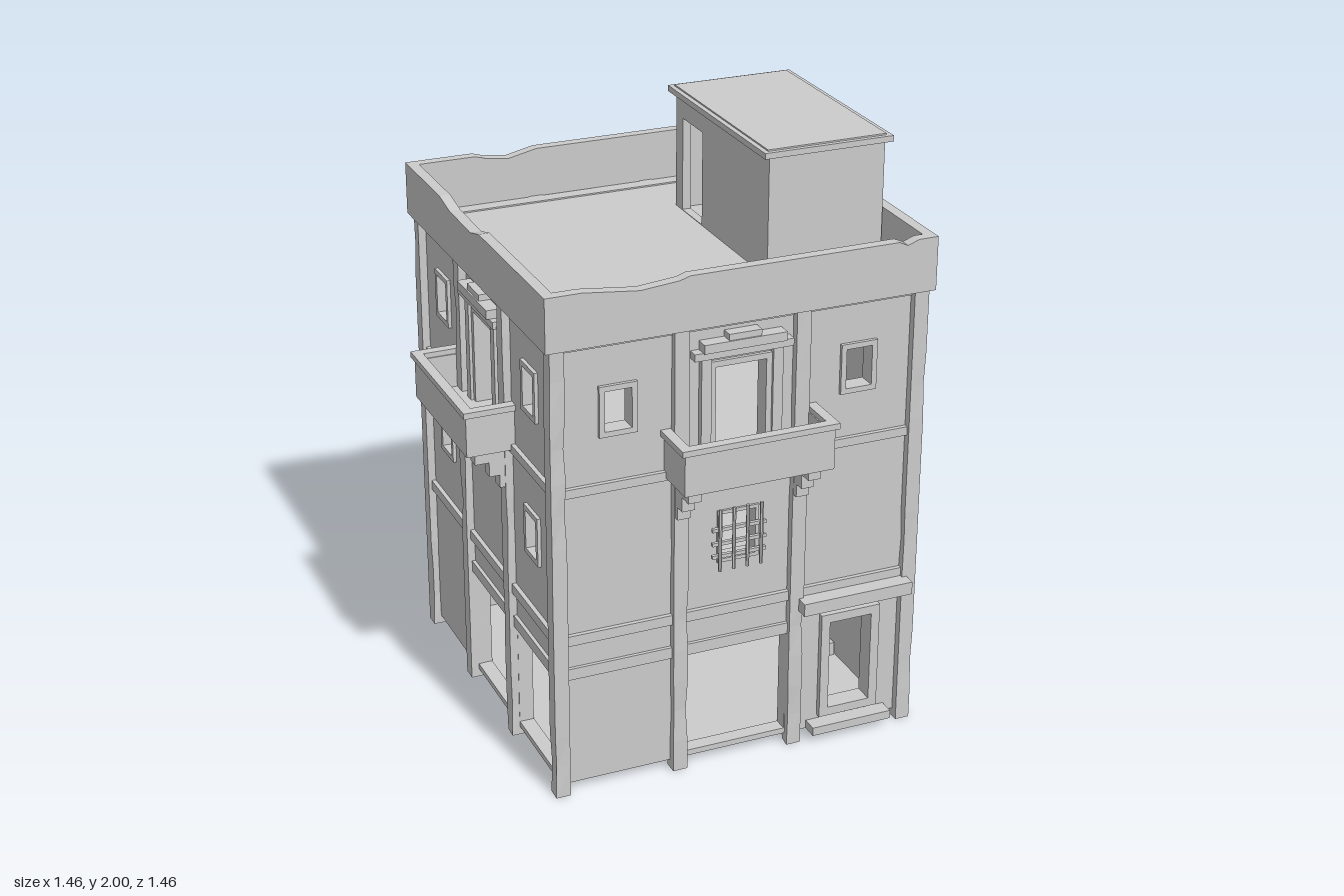
import * as THREE from 'three';

const mat = new THREE.MeshStandardMaterial({ color: 0xcccccc, flatShading: true });
const HALF = 0.615; // distance from the centre to the outer wall face

function add(parent, name, geometry) {
  const mesh = new THREE.Mesh(geometry, mat);
  mesh.name = name;
  parent.add(mesh);
  return mesh;
}

// Box given by its limits on each axis
function box(parent, name, x0, x1, y0, y1, z0, z1) {
  const mesh = add(parent, name, new THREE.BoxGeometry(x1 - x0, y1 - y0, z1 - z0));
  mesh.position.set((x0 + x1) / 2, (y0 + y1) / 2, (z0 + z1) / 2);
  return mesh;
}

function rectPath(path, [u0, u1, v0, v1]) {
  path.moveTo(u0, v0);
  path.lineTo(u1, v0);
  path.lineTo(u1, v1);
  path.lineTo(u0, v1);
  path.closePath();
  return path;
}

// Upright rectangular plate with rectangular holes, from z0 to z1
function plate(parent, name, rect, holes, z0, z1) {
  const shape = rectPath(new THREE.Shape(), rect);
  holes.forEach((h) => shape.holes.push(rectPath(new THREE.Path(), h)));
  const geo = new THREE.ExtrudeGeometry(shape, { depth: z1 - z0, bevelEnabled: false });
  return add(parent, name, geo.translate(0, 0, z0));
}

// Square post with slightly worn edges
let seed = 7;
const rand = () => (seed = (seed * 16807) % 2147483647) / 2147483647;
function pillar(parent, x, z) {
  const geo = new THREE.BoxGeometry(0.05, 1.58, 0.05, 1, 14, 1);
  const p = geo.attributes.position;
  const worn = {};
  for (let i = 0; i < p.count; i++) {
    const key = [p.getX(i), p.getY(i), p.getZ(i)].map((n) => n.toFixed(3)).join();
    worn[key] ??= rand() > 0.8 ? 1 - 0.22 * rand() : 1;
    p.setX(i, p.getX(i) * worn[key]);
    p.setZ(i, p.getZ(i) * worn[key]);
  }
  geo.computeVertexNormals();
  add(parent, 'pillar', geo).position.set(x, 0.79, z);
}

const grow = ([a, b, c, d], g) => [a - g, b + g, c - g, d + g];
const win = (u, y, w = 0.09, h = 0.135) => [u - w / 2, u + w / 2, y - h / 2, y + h / 2];

function frame(parent, name, hole, border, out) {
  plate(parent, name, grow(hole, border), [hole], HALF - 0.03, HALF + out);
}

// Balcony with corbels and the tall doorway behind it
function balcony(side, door) {
  const g = new THREE.Group();
  g.name = 'balcony';
  side.add(g);
  box(g, 'balconyFloor', -0.252, 0.252, 1.075, 1.1, HALF, 0.775);
  box(g, 'balconyFront', -0.255, 0.255, 1.075, 1.217, 0.75, 0.778);
  box(g, 'balconyFrontRim', -0.267, 0.267, 1.215, 1.235, 0.754, 0.788);
  for (const s of [-1, 1]) {
    const [a, b] = s < 0 ? [-0.255, -0.229] : [0.229, 0.255];
    box(g, 'balconyEnd', a, b, 1.075, 1.217, HALF, 0.77);
    box(g, 'balconyEndRim', s < 0 ? -0.267 : 0.233, s < 0 ? -0.233 : 0.267, 1.215, 1.235, HALF, 0.76);
    // stepped corbel
    [[1.03, 1.08, 0.742], [0.98, 1.03, 0.695], [0.935, 0.98, 0.66]].forEach(([y0, y1, d]) =>
      box(g, 'corbel', s * 0.206 - 0.022, s * 0.206 + 0.022, y0, y1, HALF, d));
    box(g, 'doorPilaster', s * 0.122 - 0.017, s * 0.122 + 0.017, 1.09, 1.465, HALF, 0.637);
  }
  frame(g, 'balconyDoorFrame', door, 0.02, 0.012);
  box(g, 'doorLintel', -0.168, 0.168, 1.46, 1.485, HALF, 0.65);
  box(g, 'doorLintelTop', -0.14, 0.14, 1.485, 1.515, HALF, 0.66);
  box(g, 'doorCrest', -0.055, 0.055, 1.515, 1.536, HALF, 0.655);
}

// Window bars
function grille(side) {
  for (let i = 0; i < 4; i++) {
    const bar = add(side, 'verticalBar', new THREE.CylinderGeometry(0.006, 0.006, 0.22, 6));
    bar.position.set(-0.073 + i * 0.048, 0.825, 0.645);
  }
  for (const y of [0.765, 0.81, 0.86]) box(side, 'crossBar', -0.098, 0.09, y - 0.006, y + 0.006, 0.63, 0.642);
}

// Parapet strip whose top edge follows shallow dents
function parapet(side, halfLength, dents) {
  const s = new THREE.Shape();
  s.moveTo(halfLength, 1.57);
  s.lineTo(halfLength, 1.75);
  [...dents].reverse().forEach(([u, d]) => s.lineTo(u, 1.75 - d));
  s.lineTo(-halfLength, 1.75);
  s.lineTo(-halfLength, 1.57);
  s.closePath();
  add(side, 'parapet', new THREE.ExtrudeGeometry(s, { depth: 0.037, bevelEnabled: false }).translate(0, 0, 0.62));
}

// Horizontal slab with an optional stairwell
function slab(parent, name, half, y0, y1, hole) {
  const mesh = plate(parent, name, [-half, half, -half, half], hole ? [hole] : [], y0, y1);
  mesh.geometry.rotateX(-Math.PI / 2);
}

export function createModel() {
  const root = new THREE.Group();
  root.name = 'building';
  const house = new THREE.Group();
  house.name = 'house';
  house.position.set(0.057, 0, -0.066);
  root.add(house);

  const balconyDoor = [-0.086, 0.086, 1.1, 1.42];
  const shopCentre = [-0.182, 0.182, 0.05, 0.42];
  const shopFront = [0.232, 0.591, 0.05, 0.42];
  const frontDoor = [0.335, 0.487, 0.105, 0.43];
  const sideDoor = [0.405, 0.555, 0.095, 0.405];
  const grilleHole = win(0, 0.825, 0.12, 0.16);
  const backWindow = win(0, 1.345, 0.2, 0.18);

  // Each facade is drawn facing +z, then turned into place
  const facades = [
    { name: 'frontFacade', angle: 0, windows: [win(-0.411, 1.335), win(0.411, 1.335)],
      holes: [balconyDoor, shopCentre, frontDoor, grilleHole],
      dents: [[-0.54, 0], [-0.35, 0.022], [-0.22, 0.01], [-0.19, 0], [0.52, 0], [0.55, 0.014], [0.59, 0]] },
    { name: 'rightFacade', angle: -Math.PI / 2,
      windows: [-0.411, 0.411].flatMap((u) => [win(u, 1.345), win(u, 0.845)]),
      holes: [balconyDoor, shopCentre, shopFront],
      dents: [[-0.3, 0], [-0.2, 0.018], [0, 0.022], [0.08, 0]] },
    { name: 'backFacade', angle: Math.PI, windows: [win(-0.411, 0.835), win(0.411, 0.835)],
      holes: [backWindow],
      dents: [[-0.5, 0], [-0.46, 0.014], [-0.4, 0], [0.2, 0], [0.3, 0.022], [0.38, 0.012], [0.42, 0]] },
    { name: 'leftFacade', angle: Math.PI / 2, windows: [], holes: [sideDoor], dents: [] },
  ];
  const sides = facades.map((f, i) => {
    const side = new THREE.Group();
    side.name = f.name;
    side.rotation.y = f.angle;
    house.add(side);
    plate(side, 'wall', [-HALF, HALF, 0.03, 1.58], [...f.holes, ...f.windows], HALF - 0.05, HALF);
    f.windows.forEach((w) => frame(side, 'windowFrame', w, 0.018, 0.012));
    for (const u of [-0.206, 0.206]) pillar(side, u, 0.617);
    pillar(side, 0.617, 0.617);
    box(side, 'lowerBand', -0.6, 0.6, 0.545, 0.58, HALF - 0.02, 0.63);
    box(side, 'upperBand', -0.6, 0.6, 1.065, 1.095, HALF - 0.02, 0.63);
    parapet(side, i % 2 ? 0.62 : 0.657, f.dents);
    return side;
  });
  const [front, right, back, left] = sides;

  // Front: balcony, barred window, main door, shop beam
  balcony(front, balconyDoor);
  frame(front, 'barredWindowFrame', grilleHole, 0.012, 0.008);
  grille(front);
  frame(front, 'mainDoorFrame', frontDoor, 0.031, 0.02);
  box(front, 'mainDoorStep', 0.265, 0.555, 0.03, 0.06, HALF, 0.67);
  box(front, 'mainDoorCanopy', 0.213, 0.608, 0.505, 0.55, HALF, 0.686);
  box(front, 'shopBeam', -0.6, 0.2, 0.42, 0.46, HALF - 0.03, 0.627);

  // Balcony side with the shop openings
  balcony(right, balconyDoor);
  box(right, 'shopBeam', -0.2, 0.6, 0.42, 0.46, HALF - 0.03, 0.627);

  // Back: wide window with sill
  frame(back, 'wideWindowFrame', backWindow, 0.03, 0.015);
  box(back, 'wideWindowSill', -0.178, 0.178, 1.2, 1.225, HALF, 0.67);

  // Side door
  frame(left, 'sideDoorFrame', sideDoor, 0.02, 0.02);
  box(left, 'sideDoorCanopy', 0.355, 0.59, 0.432, 0.46, HALF, 0.673);
  box(left, 'sideDoorStep', 0.335, 0.612, 0.03, 0.06, HALF, 0.673);

  // Floors and stairs
  const well = [0.415, 0.56, -0.25, 0.35];
  slab(house, 'groundFloor', 0.61, 0.03, 0.045);
  const levels = [0.045, 0.58, 1.095, 1.575];
  slab(house, 'firstFloor', 0.58, 0.545, 0.58, well);
  slab(house, 'secondFloor', 0.58, 1.065, 1.095, well);
  slab(house, 'roof', 0.622, 1.55, 1.575, well);
  for (let l = 0; l < 3; l++) {
    const rise = (levels[l + 1] - levels[l]) / 11;
    for (let i = 0; i < 11; i++) {
      const y = levels[l] + i * rise;
      const z = 0.24 - i * 0.052;
      box(house, 'stairStep', 0.42, 0.56, y, y + rise, z - 0.052, z);
    }
  }

  // Stair house on the roof, with its doorway
  const hut = new THREE.Group();
  hut.name = 'stairHouse';
  house.add(hut);
  box(hut, 'hutOuterWall', 0.583, 0.613, 1.57, 1.977, -0.36, 0.365);
  box(hut, 'hutBackWall', 0.215, 0.6, 1.57, 1.977, -0.36, -0.33);
  box(hut, 'hutFrontWall', 0.215, 0.6, 1.57, 1.977, 0.335, 0.365);
  plate(hut, 'hutDoorWall', [-0.36, 0.365, 1.57, 1.977], [[-0.305, -0.145, 1.577, 1.9]], -0.238, -0.208)
    .rotation.y = -Math.PI / 2;
  box(hut, 'hutRoof', 0.188, 0.638, 1.975, 1.995, -0.386, 0.376);
  box(hut, 'hutRoofTop', 0.205, 0.62, 1.99, 2.0, -0.37, 0.36);
  return root;
}
